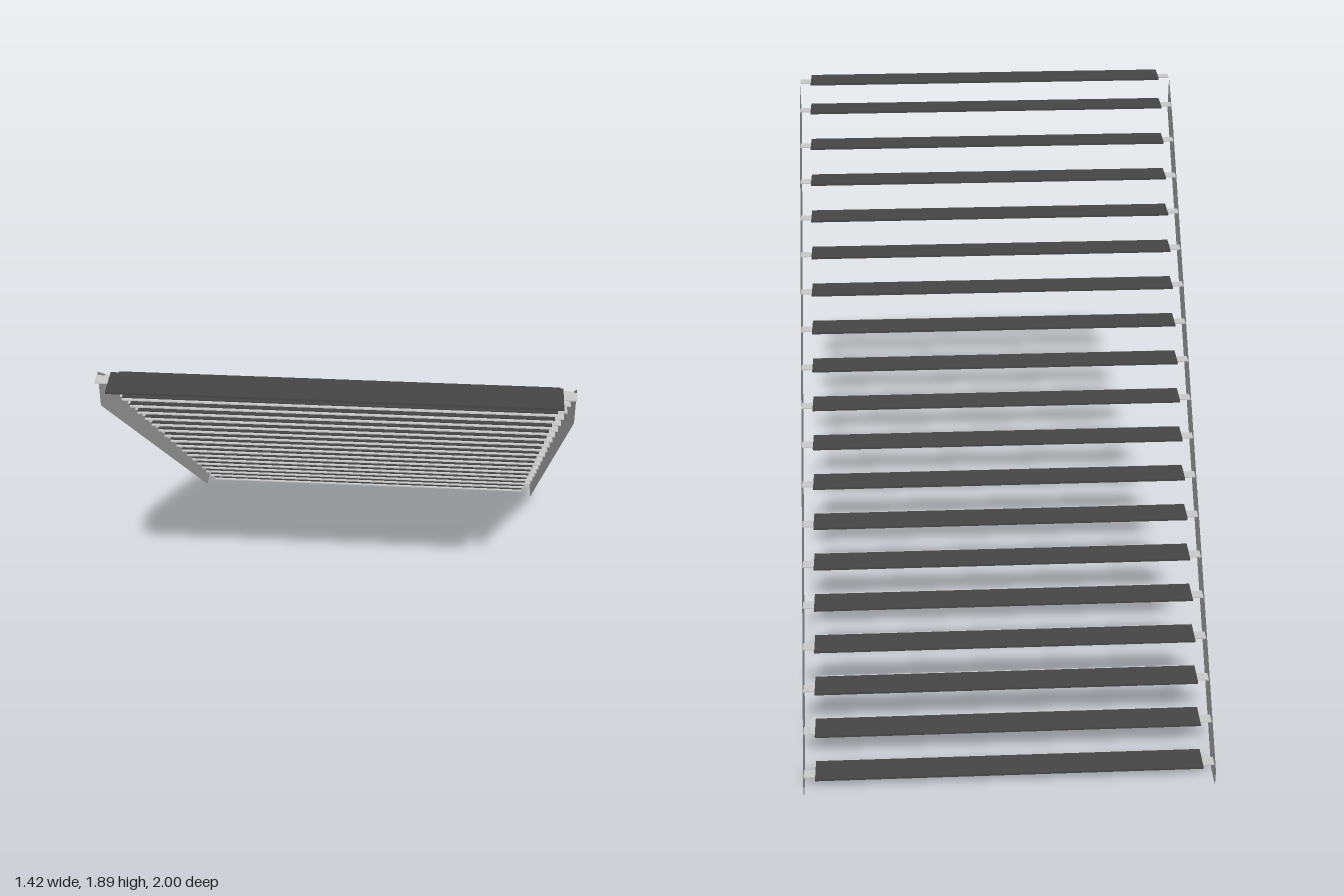
import * as THREE from 'three';

export function createModel() {
  const model = new THREE.Group();
  const steel = new THREE.MeshStandardMaterial({ color: 0xcccccc, side: THREE.DoubleSide });
  const dark = new THREE.MeshStandardMaterial({ color: 0x464646 });

  // Thin side plates, outlined as (z, y)
  const outline = [[-0.91, 0], [-1, 0], [-1, 0.06], [0.74, 1.76], [0.8, 1.81], [0.9, 1.89], [0.9, 1.765]];
  const plate = new THREE.ShapeGeometry(new THREE.Shape(outline.map(([z, y]) => new THREE.Vector2(z, y))));
  plate.rotateY(-Math.PI / 2);
  for (const side of [1, -1]) {
    const stringer = new THREE.Mesh(plate, steel);
    stringer.name = side > 0 ? 'leftStringer' : 'rightStringer';
    stringer.position.x = side * 0.71;
    model.add(stringer);
  }

  const addBox = (parent, name, material, w, h, d, x, y, z) => {
    const mesh = new THREE.Mesh(new THREE.BoxGeometry(w, h, d), material);
    mesh.name = name;
    mesh.position.set(x, y, z);
    parent.add(mesh);
  };

  // Steps: dark tread, pale rear lip and a mounting tab at each end
  const count = 19;
  for (let i = 0; i < count; i++) {
    const last = i === count - 1;
    const step = new THREE.Group();
    step.name = 'step';
    step.position.set(0, last ? 1.886 : 0.06 + i * 0.103, last ? 0.9 : -0.978 + i * 0.104);
    const depth = last ? 0.1 : 0.095;
    addBox(step, 'tread', dark, 1.34, 0.008, depth, 0, 0, depth / 2);
    if (!last) addBox(step, 'rearLip', steel, 1.34, 0.004, 0.009, 0, -0.002, 0.0995);
    for (const side of [1, -1]) {
      addBox(step, 'mountingTab', steel, 0.04, 0.004, 0.038, side * 0.69, 0, 0.034);
    }
    model.add(step);
  }
  return model;
}
